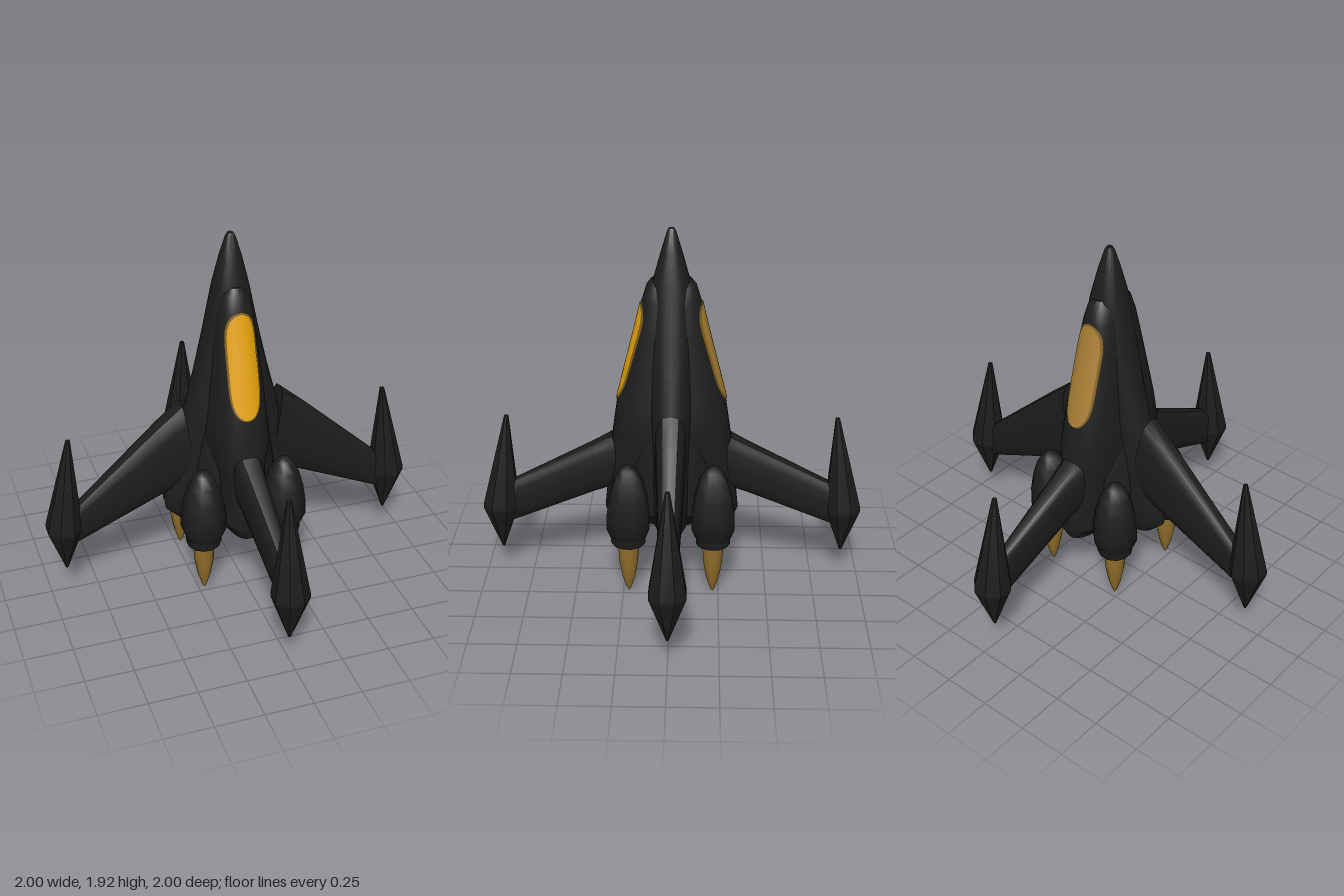
import * as THREE from 'three';
import { toCreasedNormals } from 'three/addons/utils/BufferGeometryUtils.js';

// Skin a list of closed rings; rings run along the axis, points wind outward
function loft(rings, crease = 0.6) {
  const n = rings[0].length, pos = [], idx = [];
  rings.forEach(r => r.forEach(p => pos.push(...p)));
  for (let k = 0; k < rings.length - 1; k++) {
    for (let i = 0; i < n; i++) {
      const a = k * n + i, b = k * n + (i + 1) % n;
      idx.push(a, a + n, b, b, a + n, b + n);
    }
  }
  // End caps
  const last = (rings.length - 1) * n;
  for (let i = 1; i < n - 1; i++) {
    idx.push(0, i, i + 1, last, last + i + 1, last + i);
  }
  const g = new THREE.BufferGeometry();
  g.setAttribute('position', new THREE.Float32BufferAttribute(pos, 3));
  g.setIndex(idx);
  return toCreasedNormals(g, crease);
}

// Superellipse outline as [u, v] pairs
function outline(a, b, power, sides, turn = 0) {
  const bend = t => Math.sign(t) * Math.pow(Math.abs(t), 2 / power);
  return Array.from({ length: sides }, (_, i) => {
    const t = (i / sides) * Math.PI * 2 + turn;
    return [a * bend(Math.cos(t)), b * bend(Math.sin(t))];
  });
}

// Vertical body from rows of [y, half width x, half depth z]
function body(rows, power, sides) {
  return loft(rows.map(([y, a, b]) => outline(a, b, power, sides).map(([x, z]) => [x, y, z])));
}

// Linear lookup of [half width, half depth] at height y
function sample(rows, y) {
  const k = Math.max(1, rows.findIndex(r => r[0] >= y));
  const p = rows[k - 1], q = rows[k], t = (y - p[0]) / (q[0] - p[0]);
  return [p[1] + (q[1] - p[1]) * t, p[2] + (q[2] - p[2]) * t];
}

const HULL = [
  [0.33, 0.29, 0.07], [0.4, 0.362, 0.1], [0.51, 0.37, 0.1], [0.62, 0.34, 0.105],
  [0.8, 0.29, 0.11], [1.0, 0.243, 0.12], [1.2, 0.19, 0.12], [1.4, 0.143, 0.115],
  [1.65, 0.092, 0.095], [1.8, 0.056, 0.054], [1.9, 0.026, 0.024], [1.92, 0.014, 0.014],
];
const SPINE = [
  [0.33, 0.09, 0.32], [0.4, 0.145, 0.352], [0.55, 0.135, 0.337], [0.7, 0.14, 0.32],
  [0.85, 0.175, 0.305], [1.02, 0.155, 0.28], [1.2, 0.138, 0.235], [1.4, 0.118, 0.185],
  [1.55, 0.097, 0.15], [1.63, 0.075, 0.126], [1.665, 0.045, 0.1],
];
const SPINE_POWER = 2.5;

// Thin rounded panel that follows the front of the spine
function panel(halfWidth, halfLength, lift) {
  const rows = 28, cols = 10, pos = [], idx = [];
  for (let j = 0; j <= rows; j++) {
    const v = -Math.cos((j / rows) * Math.PI);
    const y = 1.285 + v * halfLength;
    const w = halfWidth * Math.sqrt(Math.max(0, 1 - Math.abs(v) ** 5));
    const [a, b] = sample(SPINE, y);
    for (let i = 0; i <= cols; i++) {
      const x = w * (i / cols * 2 - 1);
      const z = b * Math.pow(1 - Math.pow(Math.abs(x) / a, SPINE_POWER), 1 / SPINE_POWER);
      pos.push(x, y, z + lift);
      if (i < cols && j < rows) {
        const p = j * (cols + 1) + i, q = p + cols + 1;
        idx.push(p, p + 1, q, p + 1, q + 1, q);
      }
    }
  }
  const g = new THREE.BufferGeometry();
  g.setAttribute('position', new THREE.Float32BufferAttribute(pos, 3));
  g.setIndex(idx);
  g.computeVertexNormals();
  return g;
}

// Wing along +x; stations are [xTop, yTop, xBottom, yBottom, half thickness]
function wing(stations) {
  return loft(stations.map(([xt, yt, xb, yb, th]) =>
    outline(0.5, th, 3, 16).map(([u, v]) => {
      const t = u + 0.5;
      return [xb + (xt - xb) * t, yb + (yt - yb) * t, -v];
    })));
}

// Faceted wingtip spike, leaning inward at the top
function tipFin() {
  const rows = [[0.14, 0.91, 0.006], [0.385, 0.91, 0.09], [0.41, 0.91, 0.09], [0.91, 0.861, 0.011]];
  return loft(rows.map(([y, cx, r]) =>
    outline(r / Math.cos(Math.PI / 8), r / Math.cos(Math.PI / 8), 2, 8, Math.PI / 8)
      .map(([x, z]) => [cx + x, y, z])), 0.3);
}

function lathe(points, sides, crease) {
  const g = new THREE.LatheGeometry(points.map(p => new THREE.Vector2(...p)), sides);
  g.rotateY(Math.PI / sides);
  return toCreasedNormals(g, crease);
}

export function createModel() {
  const material = (name, color) => {
    const m = new THREE.MeshStandardMaterial({ color });
    m.name = name;
    return m;
  };
  const black = material('hull black', 0x1d1d1d);
  const gold = material('canopy gold', 0xe4a20c);
  const dullGold = material('dull gold', 0xa87e34);
  const flameGold = material('flame bronze', 0x94702c);
  const bronze = material('rim bronze', 0x80601c);

  const model = new THREE.Group();
  model.name = 'rocketShip';
  const add = (parent, name, geometry, mat) => {
    const mesh = new THREE.Mesh(geometry, mat);
    mesh.name = name;
    parent.add(mesh);
  };

  // Hull: wide blade, deep spine and a core that fills the corners
  add(model, 'hull', body(HULL, 2.3, 32), black);
  add(model, 'spine', body(SPINE, SPINE_POWER, 40), black);
  add(model, 'core', body([[0.36, 0.18, 0.18], [0.44, 0.24, 0.24], [0.65, 0.23, 0.23],
    [0.85, 0.2, 0.2], [1.05, 0.16, 0.16], [1.4, 0.09, 0.09]], 2, 24), black);

  // Bright canopy in front, duller one behind
  const rim = panel(0.082, 0.27, 0.003), glass = panel(0.074, 0.262, 0.007);
  for (const side of [0, 1]) {
    const canopy = new THREE.Group();
    canopy.name = side ? 'backCanopy' : 'frontCanopy';
    canopy.rotation.y = side * Math.PI;
    add(canopy, 'canopyRim', rim, bronze);
    add(canopy, 'canopyGlass', glass, side ? dullGold : gold);
    model.add(canopy);
  }

  // Four wings with tip fins; side wings start higher than front and back
  const sideWing = wing([[0.272, 1.03, 0.2, 0.585, 0.08], [0.4, 0.92, 0.4, 0.497, 0.07],
    [0.83, 0.53, 0.85, 0.297, 0.045]]);
  const midWing = wing([[0.312, 0.82, 0.2, 0.56, 0.08], [0.4, 0.77, 0.4, 0.49, 0.068],
    [0.83, 0.548, 0.85, 0.303, 0.045]]);
  const fin = tipFin();
  ['left', 'back', 'right', 'front'].forEach((name, i) => {
    const assembly = new THREE.Group();
    assembly.name = name + 'Wing';
    assembly.rotation.y = i * Math.PI / 2;
    add(assembly, 'wingPanel', i % 2 ? midWing : sideWing, black);
    add(assembly, 'tipFin', fin, black);
    model.add(assembly);
  });

  // Four engine pods with nozzles and flames
  const pod = lathe([[0, 0.34], [0.1, 0.34], [0.12, 0.39], [0.119, 0.46], [0.104, 0.56],
    [0.078, 0.65], [0.045, 0.71], [0.018, 0.73], [0, 0.732]], 8, 0.9);
  const nozzle = lathe([[0, 0.29], [0.086, 0.29], [0.092, 0.3], [0.092, 0.38], [0, 0.38]], 12, 0.6);
  const flame = lathe([[0, 0], [0.012, 0.02], [0.034, 0.09], [0.05, 0.18], [0.058, 0.3]], 12, 0.8);
  for (const x of [-1, 1]) {
    for (const z of [-1, 1]) {
      const engine = new THREE.Group();
      engine.name = (z > 0 ? 'front' : 'back') + (x > 0 ? 'Left' : 'Right') + 'Engine';
      engine.position.set(x * 0.22, 0, z * 0.22);
      add(engine, 'pod', pod, black);
      add(engine, 'nozzle', nozzle, black);
      add(engine, 'flame', flame, flameGold);
      model.add(engine);
    }
  }
  return model;
}
